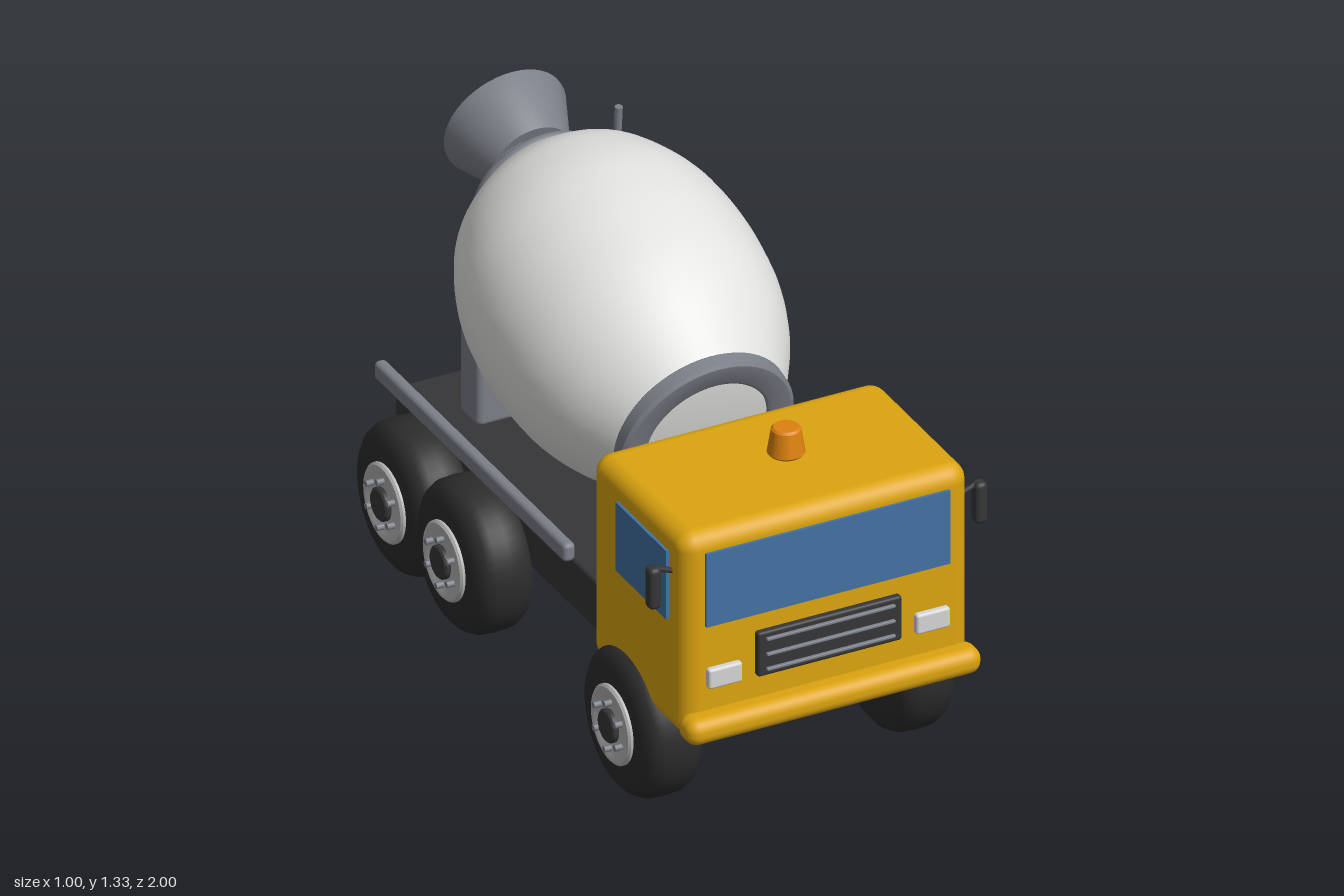
import * as THREE from 'three';
import { toCreasedNormals } from 'three/addons/utils/BufferGeometryUtils.js';
import { RoundedBoxGeometry } from 'three/addons/geometries/RoundedBoxGeometry.js';

const material = (name, color) => {
  const m = new THREE.MeshStandardMaterial({ color });
  m.name = name;
  return m;
};
const yellow = material('cab yellow', 0xdca410);
const blue = material('window blue', 0x4272a2);
const white = material('drum white', 0xe2e2e0);
const steel = material('steel grey', 0x7c8088);
const dark = material('chassis dark grey', 0x363638);
const rubber = material('tyre black', 0x2c2c2c);
const silver = material('rim silver', 0xb6b6b6);
const lampWhite = material('lamp white', 0xd6d6d6);
const amber = material('beacon amber', 0xdc820f);

function add(parent, name, geometry, mat, x = 0, y = 0, z = 0) {
  const mesh = new THREE.Mesh(geometry, mat);
  mesh.name = name;
  mesh.position.set(x, y, z);
  parent.add(mesh);
  return mesh;
}

const rounded = (w, h, d, r) => new RoundedBoxGeometry(w, h, d, 4, r);

// Solid of revolution about y; points are [radius, height], bottom to top
function turned(points, segments = 48) {
  const profile = points.map(([r, h]) => new THREE.Vector2(r, h));
  return toCreasedNormals(new THREE.LatheGeometry(profile, segments), 0.6);
}

// Round bar between two points
function rod(parent, name, from, to, radius, mat) {
  const a = new THREE.Vector3(...from), b = new THREE.Vector3(...to);
  const mesh = add(parent, name, new THREE.CylinderGeometry(radius, radius, a.distanceTo(b), 12), mat);
  mesh.position.copy(a).lerp(b, 0.5);
  mesh.quaternion.setFromUnitVectors(new THREE.Vector3(0, 1, 0), b.sub(a).normalize());
}

// Wheel built with its axle along y, outer face up
function createWheel(name) {
  const wheel = new THREE.Group();
  wheel.name = name;
  const axle = new THREE.Group();
  axle.name = 'axleFrame';
  axle.rotation.z = -Math.PI / 2;
  wheel.add(axle);
  add(axle, 'tyre', turned([[0, -0.087], [0.15, -0.087], [0.18, -0.08], [0.2, -0.064], [0.212, -0.04],
    [0.215, 0], [0.212, 0.04], [0.2, 0.064], [0.18, 0.08], [0.15, 0.087], [0, 0.087]]), rubber);
  add(axle, 'rim', turned([[0.112, 0.08], [0.112, 0.094], [0.106, 0.1], [0.096, 0.1], [0.09, 0.096], [0, 0.096]]), silver);
  add(axle, 'hub', turned([[0.047, 0.09], [0.047, 0.108], [0.042, 0.113], [0, 0.113]], 32), dark);
  for (let i = 0; i < 6; i++) {
    const a = i * Math.PI / 3;
    add(axle, 'wheelBolt', new THREE.CylinderGeometry(0.009, 0.009, 0.03, 8), steel,
      0.069 * Math.cos(a), 0.102, 0.069 * Math.sin(a));
  }
  return wheel;
}

function createCab() {
  const cab = new THREE.Group();
  cab.name = 'cab';
  add(cab, 'cabBody', rounded(0.852, 0.615, 0.528, 0.05), yellow, 0, 0.624, 0.674);
  add(cab, 'bumper', rounded(0.87, 0.077, 0.09, 0.035), yellow, 0, 0.363, 0.955);
  add(cab, 'windshield', new THREE.BoxGeometry(0.72, 0.222, 0.009), blue, 0, 0.766, 0.942);
  add(cab, 'grille', rounded(0.426, 0.134, 0.024, 0.008), dark, 0, 0.535, 0.945);
  for (const y of [0.49, 0.535, 0.581])
    add(cab, 'grilleSlat', rounded(0.38, 0.009, 0.016, 0.003), steel, 0, y, 0.958);
  for (const s of [-1, 1]) {
    add(cab, 'sideWindow', new THREE.BoxGeometry(0.009, 0.208, 0.288), blue, s * 0.43, 0.759, 0.716);
    add(cab, 'headlight', rounded(0.1, 0.06, 0.024, 0.008), lampWhite, s * 0.307, 0.498, 0.944);
    add(cab, 'mirror', rounded(0.036, 0.124, 0.04, 0.014), dark, s * 0.482, 0.776, 0.877);
    rod(cab, 'mirrorArm', [s * 0.42, 0.808, 0.873], [s * 0.482, 0.832, 0.873], 0.008, dark);
  }
  add(cab, 'beacon', turned([[0, -0.04], [0.046, -0.04], [0.051, -0.034], [0.05, -0.028],
    [0.04, 0.034], [0.034, 0.04], [0, 0.04]], 32), amber, 0, 1.005, 0.706);
  return cab;
}

// Drum and hopper share one tilted axis; local y runs back and up
function createDrum() {
  const drum = new THREE.Group();
  drum.name = 'mixer';
  drum.position.set(0, 0.789, 0.238);
  drum.rotation.x = -75 * Math.PI / 180;
  const curve = new THREE.SplineCurve([[0.235, 0], [0.29, 0.085], [0.345, 0.185], [0.385, 0.31], [0.4, 0.45],
    [0.398, 0.56], [0.382, 0.67], [0.345, 0.775], [0.29, 0.87], [0.19, 0.96]]
    .map(([r, h]) => new THREE.Vector2(r, h)));
  const shell = curve.getPoints(40).map((p) => [p.x, p.y]);
  add(drum, 'drum', turned([[0, -0.008], [0.2, -0.008], ...shell, [0.15, 1.01], [0, 1.01]], 64), white);
  add(drum, 'frontCollar', turned([[0.18, 0.02], [0.18, -0.02], [0.19, -0.026], [0.245, -0.026], [0.255, -0.018],
    [0.255, 0.018], [0.247, 0.026], [0.18, 0.026]], 64), steel);
  const ring = new THREE.TorusGeometry(0.175, 0.02, 12, 64).rotateX(Math.PI / 2);
  add(drum, 'rearCollar', ring, steel, 0, 0.965, 0);
  add(drum, 'hopper', turned([[0, 0], [0.115, 0], [0.177, 0.15], [0.177, 0.16], [0, 0.16]]), steel, 0, 1.025, 0.047);
  return drum;
}

export function createModel() {
  const truck = new THREE.Group();
  truck.name = 'mixerTruck';

  // Frame and fittings
  add(truck, 'chassis', rounded(0.616, 0.15, 1.785, 0.012), dark, 0, 0.326, -0.033);
  add(truck, 'frontPedestal', rounded(0.42, 0.37, 0.1, 0.025), steel, 0, 0.586, 0.34);
  add(truck, 'rearPedestal', rounded(0.42, 0.53, 0.11, 0.02), steel, 0, 0.655, -0.695);
  for (const s of [-1, 1])
    add(truck, 'sideRail', rounded(0.036, 0.055, 1.085, 0.014), steel, s * 0.353, 0.468, -0.384);
  const chute = add(truck, 'chute', rounded(0.12, 0.043, 0.25, 0.012), steel, 0, 0.613, -0.905);
  chute.rotation.x = -47 * Math.PI / 180;
  rod(truck, 'supportRod', [0.245, 1.21, -0.715], [0.245, 0.4, -0.787], 0.011, steel);

  truck.add(createCab(), createDrum());

  // Three axles
  for (const [label, z] of [['front', 0.612], ['middle', -0.342], ['rear', -0.68]])
    for (const s of [-1, 1]) {
      const wheel = createWheel(label + (s > 0 ? 'LeftWheel' : 'RightWheel'));
      wheel.position.set(s * 0.373, 0.215, z);
      if (s < 0) wheel.rotation.y = Math.PI;
      truck.add(wheel);
    }
  return truck;
}
